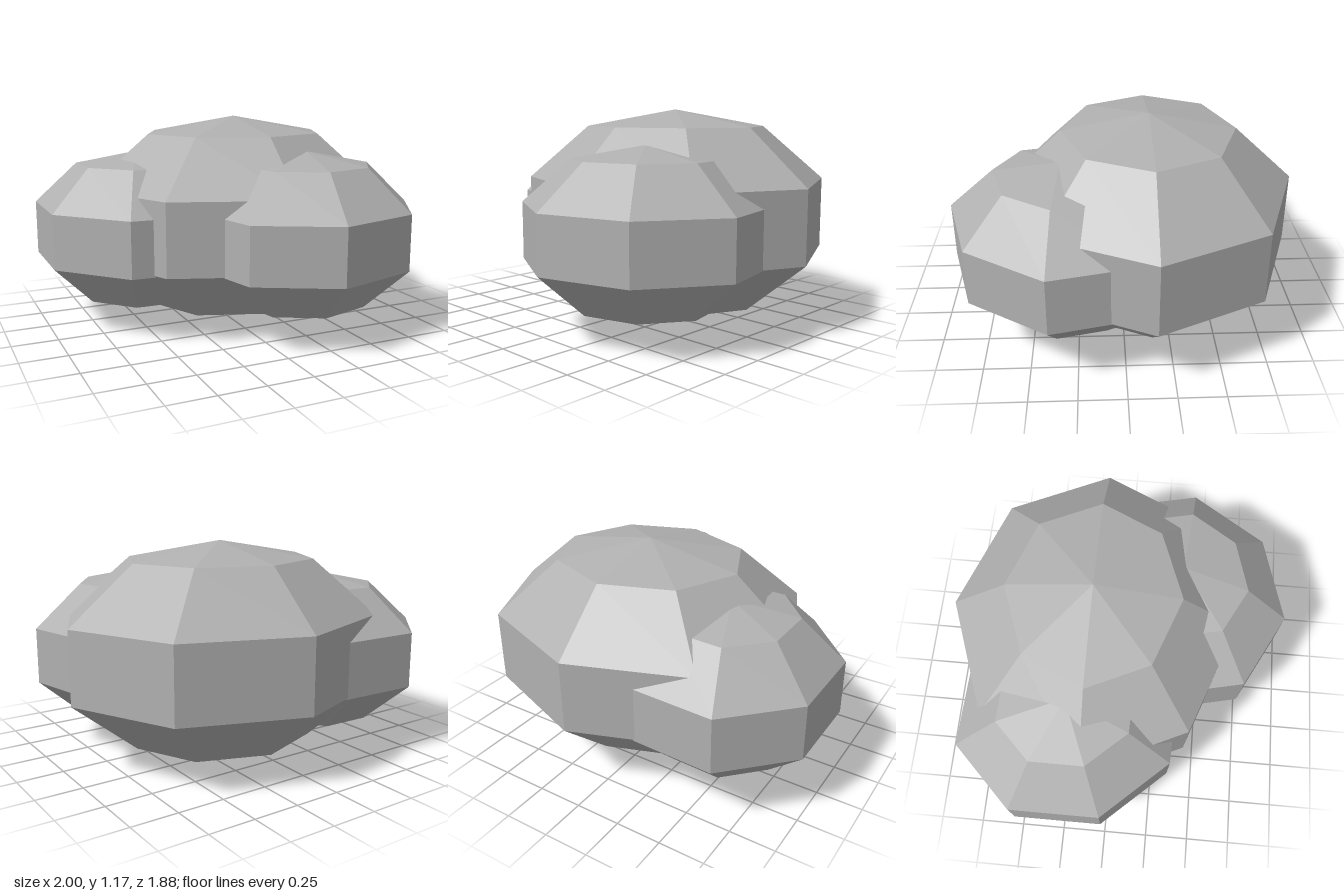
import * as THREE from 'three';

// Unit faceted boulder: eight sides, wide vertical waist, shallow caps.
function boulderGeometry() {
  const profile = [
    [0, -1], [0.595, -0.84], [1, -0.335],
    [1, 0.335], [0.595, 0.84], [0, 1],
  ].map(([r, y]) => new THREE.Vector2(r, y));
  return new THREE.LatheGeometry(profile, 8);
}

export function createModel() {
  const group = new THREE.Group();
  group.name = 'rockCluster';
  const stone = new THREE.MeshStandardMaterial({ color: 0xb0b0b0 });
  stone.name = 'grey stone';
  stone.flatShading = true;

  // u and v are the boulder's two horizontal half axes as [x, z].
  const boulders = [
    { name: 'mainBoulder', centre: [0.107, 0.587, -0.145], height: 0.587, u: [0.893, 0], v: [0, 0.795] },
    { name: 'frontBoulder', centre: [0.33, 0.54, 0.325], height: 0.457, u: [0.635, 0.06], v: [-0.12, 0.61] },
    { name: 'sideBoulder', centre: [-0.454, 0.533, -0.24], height: 0.45, u: [-0.546, 0.22], v: [-0.226, -0.59] },
  ];

  for (const { name, centre, height, u, v } of boulders) {
    const matrix = new THREE.Matrix4().makeBasis(
      new THREE.Vector3(u[0], 0, u[1]),
      new THREE.Vector3(0, height, 0),
      new THREE.Vector3(v[0], 0, v[1]),
    ).setPosition(...centre);
    const geometry = boulderGeometry().applyMatrix4(matrix).toNonIndexed();
    geometry.computeVertexNormals();
    const mesh = new THREE.Mesh(geometry, stone);
    mesh.name = name;
    group.add(mesh);
  }
  return group;
}
